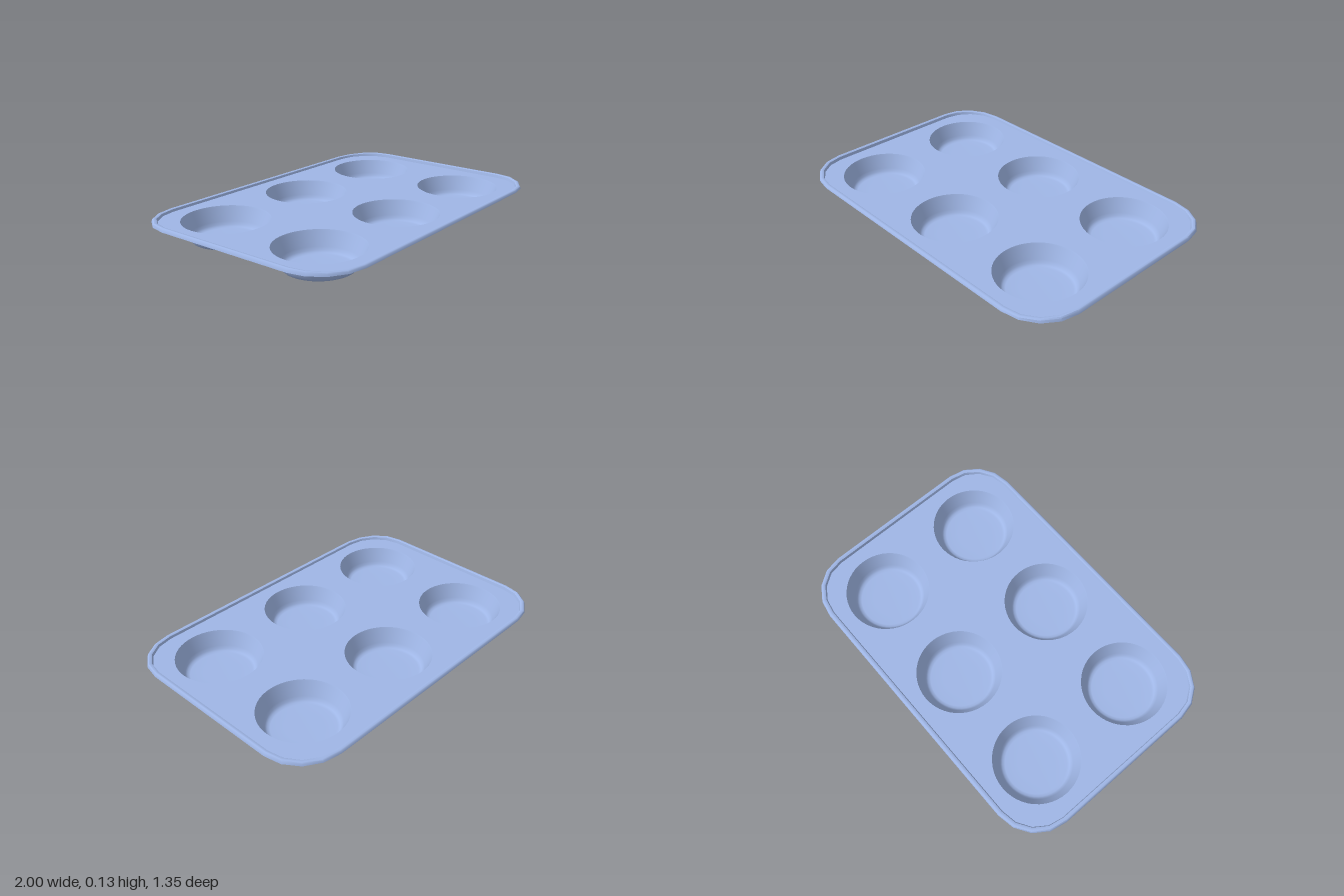
import * as THREE from 'three';
import { toCreasedNormals } from 'three/addons/utils/BufferGeometryUtils.js';

const PLATE_Y = 0.114;
const CUP_RADIUS = 0.24;
const CUP_X = [-0.65, 0, 0.65];
const CUP_Z = [-0.325, 0.325];

// Rounded-rectangle outline of the tray, moved inwards by inset
function outline(inset) {
  const rx = 0.26 - inset, rz = 0.25 - inset, steps = 4;
  const points = [];
  [[1, 1], [-1, 1], [-1, -1], [1, -1]].forEach(([sx, sz], corner) => {
    for (let i = 0; i <= steps; i++) {
      const a = (corner + i / steps) * Math.PI / 2;
      points.push(new THREE.Vector2(sx * 0.74 + rx * Math.cos(a), sz * 0.425 + rz * Math.sin(a)));
    }
  });
  return points;
}

// Rolled lip lofted through [inset, rise] sections, a little taller at the short ends
function rimGeometry() {
  const sections = [[0.032, 0], [0.027, 0.85], [0.021, 1], [0.01, 1], [0.004, 0.75], [0, 0]];
  const positions = [], indices = [];
  const count = outline(0).length;
  sections.forEach(([inset, rise], s) => {
    outline(inset).forEach((p, i) => {
      const height = 0.015 + 0.005 * THREE.MathUtils.smoothstep(Math.abs(p.x), 0.85, 0.98);
      positions.push(p.x, PLATE_Y + rise * height, p.y);
      if (s === 0) return;
      const a = (s - 1) * count + i, b = (s - 1) * count + (i + 1) % count;
      indices.push(a, b, a + count, b, b + count, a + count);
    });
  });
  const geometry = new THREE.BufferGeometry();
  geometry.setAttribute('position', new THREE.Float32BufferAttribute(positions, 3));
  geometry.setIndex(indices);
  return toCreasedNormals(geometry, 0.7);
}

export function createModel() {
  const group = new THREE.Group();
  group.name = 'bakingTray';
  const metal = new THREE.MeshStandardMaterial({ color: 0x9fb6e6, side: THREE.DoubleSide });

  const add = (name, geometry, x = 0, y = 0, z = 0) => {
    const mesh = new THREE.Mesh(geometry, metal);
    mesh.name = name;
    mesh.position.set(x, y, z);
    group.add(mesh);
  };

  // Flat plate with a round opening for each cup
  const shape = new THREE.Shape(outline(0.032));
  for (const x of CUP_X) for (const z of CUP_Z) {
    shape.holes.push(new THREE.Path().absarc(x, z, CUP_RADIUS, 0, Math.PI * 2, true));
  }
  add('plate', new THREE.ShapeGeometry(shape, 24).rotateX(-Math.PI / 2), 0, PLATE_Y, 0);

  add('rim', rimGeometry());

  // Tapered cups with a softly rounded base
  const profile = [
    [0, 0], [0.1, 0], [0.17, 0.002], [0.185, 0.006], [0.195, 0.016], [0.203, 0.032],
    [0.236, 0.106], [CUP_RADIUS, PLATE_Y],
  ].map(([r, y]) => new THREE.Vector2(r, y));
  const cup = new THREE.LatheGeometry(profile, 48);
  for (const x of CUP_X) for (const z of CUP_Z) add('cup', cup, x, 0, z);

  return group;
}
